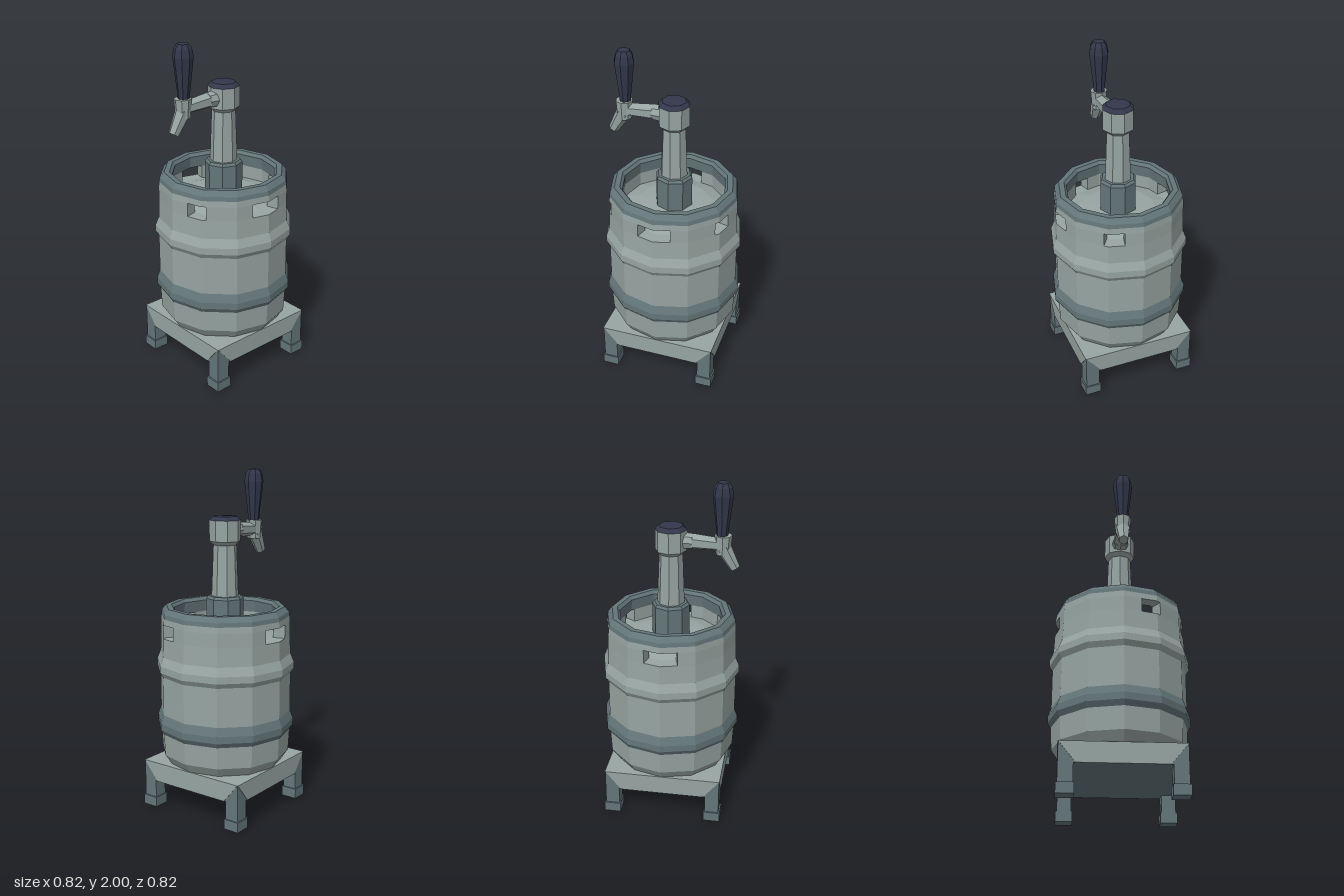
import * as THREE from 'three';

const steel = new THREE.MeshStandardMaterial({ color: 0x97a5a2 });
steel.name = 'steel';
const darkSteel = new THREE.MeshStandardMaterial({ color: 0x647679 });
darkSteel.name = 'darkSteel';
const navy = new THREE.MeshStandardMaterial({ color: 0x33374a });
navy.name = 'navy';

export function createModel() {
  const model = new THREE.Group();

  // faceted mesh with one normal per face
  function add(name, geometry, material) {
    const g = geometry.index ? geometry.toNonIndexed() : geometry;
    g.computeVertexNormals();
    const mesh = new THREE.Mesh(g, material);
    mesh.name = name;
    model.add(mesh);
    return mesh;
  }
  const lathe = (name, pts, sides, material) =>
    add(name, new THREE.LatheGeometry(pts.map(([r, y]) => new THREE.Vector2(r, y)), sides), material);

  // tapered rod between two points in the x = 0 plane, given as [y, z]
  function rod(name, a, b, r0, r1, sides, material) {
    const p = new THREE.Vector3(0, ...a), q = new THREE.Vector3(0, ...b);
    const g = new THREE.CylinderGeometry(r1, r0, p.distanceTo(q), sides);
    const m = add(name, g, material);
    m.position.copy(p).add(q).multiplyScalar(0.5);
    m.quaternion.setFromUnitVectors(new THREE.Vector3(0, 1, 0), q.sub(p).normalize());
    return m;
  }

  // barrel body in three colour sections
  lathe('barrelBottom', [[0, 0.28], [0.345, 0.28], [0.385, 0.34], [0.392, 0.47]], 12, steel);
  lathe('barrelBand', [[0.392, 0.47], [0.411, 0.5], [0.411, 0.54], [0.392, 0.59]], 12, darkSteel);
  lathe('barrelBody', [
    [0.392, 0.59], [0.392, 0.82], [0.411, 0.85], [0.411, 0.89], [0.39, 0.94], [0.385, 1.05],
    [0.31, 1.05], [0.22, 1.075], [0, 1.09],
  ], 12, steel);

  // wall arcs that leave the four hand holes open
  const holes = [[0, 15], [65, 9], [180, 15], [295, 9]];
  const onRing = (deg, R) => {
    const k = Math.cos(Math.PI / 12) / Math.cos(THREE.MathUtils.degToRad((deg % 30) - 15));
    const a = THREE.MathUtils.degToRad(deg);
    return new THREE.Vector2(Math.cos(a) * R * k, Math.sin(a) * R * k);
  };
  holes.forEach(([c, half], i) => {
    const [nextC, nextHalf] = holes[(i + 1) % holes.length];
    const start = c + half;
    const end = (i === holes.length - 1 ? 360 : nextC) - nextHalf;
    const angles = [start];
    for (let d = 0; d < 360; d += 30) if (d > start && d < end) angles.push(d);
    angles.push(end);
    const outline = [
      ...angles.map((d) => onRing(d, 0.385)),
      ...angles.slice().reverse().map((d) => onRing(d, 0.312)),
    ];
    const g = new THREE.ExtrudeGeometry(new THREE.Shape(outline), { depth: 0.08, bevelEnabled: false });
    g.rotateX(Math.PI / 2).translate(0, 1.13, 0);
    add('handHoleWall', g, steel);
  });
  lathe('barrelShoulder', [[0.312, 1.13], [0.385, 1.13], [0.382, 1.165]], 12, steel);

  // rolled rim
  lathe('rim', [[0.382, 1.165], [0.378, 1.19], [0.352, 1.22], [0.32, 1.22], [0.305, 1.2], [0.312, 1.13]], 12, darkSteel);

  // tap tower
  lathe('towerCollar', [[0.11, 1.07], [0.11, 1.265], [0.098, 1.28], [0, 1.28]], 8, darkSteel);
  lathe('towerColumn', [[0.08, 1.27], [0.068, 1.59]], 8, steel);
  lathe('towerHead', [[0.066, 1.575], [0.092, 1.6], [0.092, 1.72]], 8, steel);
  lathe('towerCap', [[0.092, 1.72], [0.07, 1.742], [0, 1.744]], 8, navy);

  // faucet
  rod('faucetFlange', [1.655, 0.07], [1.655, 0.125], 0.05, 0.045, 8, steel);
  rod('faucetPipe', [1.655, 0.12], [1.645, 0.28], 0.046, 0.038, 6, steel);
  rod('faucetBody', [1.59, 0.295], [1.7, 0.295], 0.042, 0.05, 8, steel);
  rod('faucetSpout', [1.63, 0.295], [1.508, 0.365], 0.046, 0.03, 6, steel);

  // tap handle
  const handle = lathe('tapHandle', [
    [0, 1.69], [0.032, 1.69], [0.036, 1.74], [0.058, 1.93], [0.05, 1.975], [0.034, 2], [0, 2],
  ], 8, navy);
  handle.position.z = 0.288;

  // stand top, with mitred apron plates on all four sides
  add('standTop', new THREE.BoxGeometry(0.69, 0.117, 0.69).translate(0, 0.2235, 0),
    [darkSteel, darkSteel, steel, darkSteel, darkSteel, darkSteel]);
  const apron = new THREE.Shape([[-0.345, 0.282], [-0.25, 0.165], [0.25, 0.165], [0.345, 0.282]]
    .map(([x, y]) => new THREE.Vector2(x, y)));
  for (let i = 0; i < 4; i++) {
    const g = new THREE.ExtrudeGeometry(apron, { depth: 0.004, bevelEnabled: false });
    add('standApron', g.translate(0, 0, 0.344).rotateY(i * Math.PI / 2), steel);
  }

  // legs and feet
  for (const sx of [-1, 1]) for (const sz of [-1, 1]) {
    const leg = new THREE.BoxGeometry(0.083, 0.12, 0.083);
    add('leg', leg.translate(sx * 0.3035, 0.11, sz * 0.3035), darkSteel);
    const foot = new THREE.BoxGeometry(0.098, 0.06, 0.098);
    add('foot', foot.translate(sx * 0.304, 0.03, sz * 0.304), darkSteel);
  }
  return model;
}
